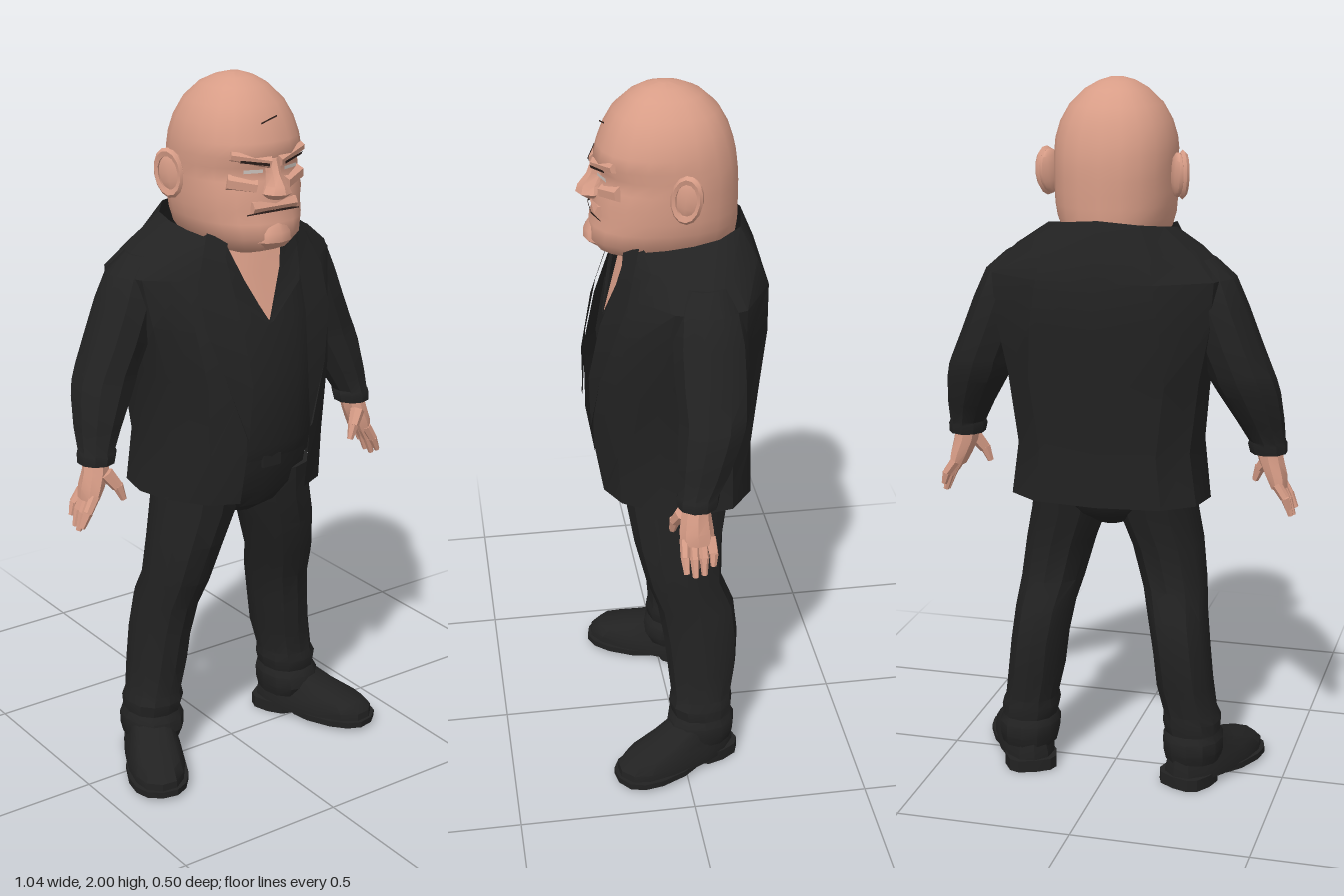
import * as THREE from 'three';
import { toCreasedNormals } from 'three/addons/utils/BufferGeometryUtils.js';

const mat = (name, color, side = THREE.FrontSide) => new THREE.MeshStandardMaterial({ name, color, side });
const V = (x, y, z) => new THREE.Vector3(x, y, z);

// Skin a stack of point rings, running upward
function loft(rings, closed = true) {
  const n = rings[0].length, pos = [], idx = [];
  rings.forEach(r => r.forEach(p => pos.push(p.x, p.y, p.z)));
  const spans = closed ? n : n - 1;
  for (let i = 0; i < rings.length - 1; i++)
    for (let j = 0; j < spans; j++) {
      const a = i * n + j, b = i * n + (j + 1) % n, c = b + n, d = a + n;
      idx.push(a, b, c, a, c, d);
    }
  if (closed) {
    const top = (rings.length - 1) * n;
    for (let j = 1; j < n - 1; j++) idx.push(0, j + 1, j, top, top + j, top + j + 1);
  }
  const g = new THREE.BufferGeometry();
  g.setAttribute('position', new THREE.Float32BufferAttribute(pos, 3));
  g.setIndex(idx);
  return g;
}

// Rounded horizontal section: height, half width, front z, back z, centre x
function section([y, w, zf, zb, cx = 0], n = 12, e = 2) {
  const zc = (zf + zb) / 2, d = (zf - zb) / 2;
  const pw = v => Math.sign(v) * Math.abs(v) ** (2 / e);
  return Array.from({ length: n }, (_, j) => {
    const t = j / n * Math.PI * 2;
    return V(cx + w * pw(Math.sin(t)), y, zc + d * pw(Math.cos(t)));
  });
}
const body = (rows, n, e) => loft(rows.map(r => section(r, n, e)));

// Ribbon from rows of points, each given as [x, y, z]
const ribbon = rows => loft(rows.map(r => r.map(p => V(...p))), false);

// Tapered rod between two points
function rod(a, b, ra, rb, n = 6) {
  const p = V(...a), q = V(...b), dir = q.clone().sub(p);
  const g = new THREE.CylinderGeometry(rb, ra, dir.length(), n);
  g.applyQuaternion(new THREE.Quaternion().setFromUnitVectors(V(0, 1, 0), dir.normalize()));
  return g.translate(...p.add(q).multiplyScalar(0.5).toArray());
}

function mirrored(g) {
  const m = g.clone().scale(-1, 1, 1), ix = m.index.array;
  for (let i = 0; i < ix.length; i += 3) [ix[i], ix[i + 1]] = [ix[i + 1], ix[i]];
  return m;
}

export function createModel() {
  const model = new THREE.Group();
  model.name = 'suitedMan';
  const suit = mat('black cloth', 0x222222, THREE.DoubleSide);
  const skin = mat('skin', 0xd89d87);
  const dark = mat('dark line', 0x30211d, THREE.DoubleSide);
  const white = mat('eye white', 0xd8cfc8, THREE.DoubleSide);

  const add = (name, g, m, crease = 0.55) => {
    g.deleteAttribute('normal');
    g.deleteAttribute('uv');
    const mesh = new THREE.Mesh(toCreasedNormals(g, crease), m);
    mesh.name = name;
    model.add(mesh);
  };
  const pair = (name, g, m, crease) => {
    add(name + 'Left', g, m, crease);
    add(name + 'Right', mirrored(g), m, crease);
  };

  // Head, broad jaw up to bald crown
  add('head', body([
    [1.535, 0.085, 0.135, -0.15], [1.555, 0.115, 0.195, -0.17], [1.59, 0.145, 0.22, -0.18],
    [1.63, 0.158, 0.215, -0.185], [1.665, 0.163, 0.202, -0.185], [1.7, 0.165, 0.205, -0.185],
    [1.74, 0.165, 0.188, -0.185], [1.775, 0.165, 0.18, -0.183], [1.805, 0.166, 0.2, -0.18],
    [1.84, 0.163, 0.19, -0.172], [1.885, 0.15, 0.173, -0.157], [1.93, 0.125, 0.148, -0.132],
    [1.97, 0.085, 0.105, -0.088], [1.99, 0.05, 0.07, -0.045], [2, 0.018, 0.03, -0.005],
  ], 20, 2.25), skin, 1);
  add('neck', body([[1.42, 0.13, 0.08, -0.13], [1.52, 0.12, 0.09, -0.15], [1.6, 0.125, 0.1, -0.17]]), skin);
  add('nose', body([
    [1.695, 0.026, 0.228, 0.16], [1.71, 0.042, 0.248, 0.16], [1.73, 0.03, 0.242, 0.16],
    [1.76, 0.018, 0.218, 0.15], [1.8, 0.022, 0.203, 0.15],
  ], 8), skin);
  add('chin', body([
    [1.558, 0.04, 0.2, 0.12], [1.58, 0.065, 0.23, 0.12], [1.605, 0.06, 0.23, 0.12], [1.635, 0.04, 0.212, 0.12],
  ], 10), skin, 0.9);
  add('upperLip', rod([-0.07, 1.674, 0.188], [0.07, 1.674, 0.188], 0.019, 0.019), skin);
  add('mouth', ribbon([
    [[-0.085, 1.655, 0.192], [-0.04, 1.661, 0.212], [0.04, 1.661, 0.212], [0.085, 1.655, 0.192]],
    [[-0.085, 1.658, 0.192], [-0.04, 1.667, 0.212], [0.04, 1.667, 0.212], [0.085, 1.658, 0.192]],
  ]), dark);
  add('foreheadScar', ribbon([
    [[-0.03, 1.888, 0.178], [0.025, 1.902, 0.172]], [[-0.03, 1.892, 0.177], [0.025, 1.906, 0.171]],
  ]), dark);
  pair('brow', rod([0.012, 1.79, 0.194], [0.115, 1.812, 0.158], 0.017, 0.013), skin);
  pair('browLine', ribbon([
    [[0.025, 1.783, 0.209], [0.1, 1.796, 0.182]], [[0.025, 1.791, 0.211], [0.1, 1.803, 0.184]],
  ]), dark);
  pair('eye', ribbon([
    [[0.035, 1.764, 0.192], [0.085, 1.764, 0.176]], [[0.035, 1.773, 0.193], [0.085, 1.774, 0.177]],
  ]), white);
  pair('cheek', rod([0.045, 1.725, 0.178], [0.115, 1.74, 0.142], 0.02, 0.022), skin);

  // Ears, flaring out toward the back
  const place = g => g.rotateX(-0.15).rotateY(-0.5).translate(0.178, 1.745, -0.025);
  pair('ear', place(new THREE.SphereGeometry(1, 10, 8).scale(0.018, 0.062, 0.042)), skin, 0.9);
  pair('earRim', place(new THREE.TorusGeometry(0.04, 0.009, 5, 14).rotateY(Math.PI / 2)
    .scale(1, 1.4, 0.9).translate(0.014, 0, 0)), skin, 0.9);

  // Shirt with an open neck
  add('shirt', body([
    [0.96, 0.215, 0.195, -0.19], [1, 0.22, 0.205, -0.2], [1.2, 0.235, 0.203, -0.21],
    [1.35, 0.24, 0.172, -0.22], [1.48, 0.2, 0.128, -0.21], [1.57, 0.12, 0.1, -0.17],
  ], 20, 2.4), suit);
  add('chest', ribbon([
    [[-0.002, 1.355, 0.178], [0, 1.355, 0.178], [0.002, 1.355, 0.178]],
    [[-0.066, 1.48, 0.132], [0, 1.48, 0.139], [0.066, 1.48, 0.132]],
    [[-0.1, 1.575, 0.092], [0, 1.575, 0.108], [0.1, 1.575, 0.092]],
  ]), skin);
  pair('shirtCollar', ribbon([
    [[0, 1.345, 0.182], [0.012, 1.35, 0.182]],
    [[0.062, 1.47, 0.147], [0.12, 1.44, 0.152]],
    [[0.1, 1.56, 0.125], [0.15, 1.545, 0.12]],
    [[0.12, 1.6, 0.095], [0.155, 1.585, 0.08]],
  ]), suit);

  // Jacket shell; each row runs from the front edge round to the back
  const jacketRows = [
    [0.85, [0.11, 0.2], [0.19, 0.16], [0.26, 0.06], [0.285, -0.04], [0.265, -0.14], [0.18, -0.205], [0, -0.225]],
    [1.0, [0.105, 0.225], [0.19, 0.17], [0.245, 0.06], [0.265, -0.04], [0.245, -0.14], [0.165, -0.205], [0, -0.225]],
    [1.2, [0.11, 0.225], [0.2, 0.18], [0.26, 0.07], [0.28, -0.05], [0.27, -0.15], [0.19, -0.22], [0, -0.24]],
    [1.35, [0.13, 0.19], [0.22, 0.15], [0.29, 0.05], [0.315, -0.05], [0.3, -0.16], [0.18, -0.24], [0, -0.255]],
    [1.48, [0.145, 0.14], [0.22, 0.11], [0.31, 0.03], [0.345, -0.06], [0.31, -0.16], [0.16, -0.245], [0, -0.25]],
    [1.55, [0.14, 0.12], [0.2, 0.075], [0.245, 0.01], [0.265, -0.06], [0.245, -0.13], [0.15, -0.215], [0, -0.232]],
    [1.61, [0.11, 0.125], [0.145, 0.09], [0.165, 0.03], [0.172, -0.04], [0.162, -0.11], [0.11, -0.175], [0, -0.195]],
  ];
  add('jacket', loft(jacketRows.map(([y, ...pts], i) => {
    const half = pts.map(([x, z], j) => V(x, i === 6 ? y - 0.035 + j * 0.0105 : y, z));
    return [...half, ...half.slice(0, -1).reverse().map(p => V(-p.x, p.y, p.z))];
  }), false), suit);
  pair('lapel', ribbon([
    [[0.103, 1.04, 0.232], [0.11, 1.05, 0.234]],
    [[0.092, 1.2, 0.234], [0.165, 1.22, 0.213]],
    [[0.105, 1.36, 0.203], [0.205, 1.36, 0.176]],
    [[0.112, 1.47, 0.162], [0.205, 1.47, 0.138]],
    [[0.118, 1.54, 0.142], [0.175, 1.54, 0.118]],
    [[0.105, 1.58, 0.136], [0.15, 1.6, 0.1]],
  ]), suit);

  // Sleeves, with a small step at the cuff and elbow folds
  pair('sleeve', body([
    [0.985, 0.052, 0.045, -0.065, 0.441], [1.01, 0.055, 0.047, -0.07, 0.438], [1.02, 0.051, 0.042, -0.07, 0.437],
    [1.08, 0.066, 0.04, -0.105, 0.42], [1.16, 0.086, 0.035, -0.14, 0.392], [1.2, 0.092, 0.03, -0.155, 0.376],
    [1.225, 0.09, 0.03, -0.16, 0.368], [1.3, 0.09, 0.035, -0.165, 0.337], [1.4, 0.088, 0.035, -0.165, 0.3],
    [1.48, 0.075, 0.025, -0.15, 0.277], [1.53, 0.05, 0, -0.12, 0.245],
  ], 10), suit);

  // Hands: palm, thumb and four spread fingers
  pair('palm', body([
    [0.885, 0.023, 0.04, -0.052, 0.472], [0.92, 0.032, 0.042, -0.05, 0.462],
    [0.96, 0.036, 0.035, -0.045, 0.448], [1.0, 0.037, 0.026, -0.045, 0.44],
  ], 8), skin);
  pair('thumb', rod([0.435, 0.96, 0.03], [0.408, 0.92, 0.045], 0.021, 0.016), skin);
  pair('thumbTip', rod([0.408, 0.924, 0.045], [0.393, 0.882, 0.05], 0.016, 0.009), skin);
  [0.028, 0.005, -0.018, -0.041].forEach((z, i) => {
    const drop = [0.015, 0, 0.004, 0.028][i];
    const mid = [0.495, 0.85 + drop * 0.5, z * 1.1];
    pair('finger' + (i + 1), rod([0.47, 0.9, z], mid, 0.015, 0.013), skin);
    pair('fingerTip' + (i + 1), rod(mid, [0.514 - i * 0.003, 0.802 + drop, z * 1.05], 0.013, 0.008), skin);
  });

  // Trousers: hips, belt and flared legs with folds at the ankle
  add('hips', body([
    [0.765, 0.05, 0.08, -0.09], [0.8, 0.13, 0.13, -0.14], [0.85, 0.225, 0.15, -0.17],
    [0.92, 0.225, 0.17, -0.18], [0.99, 0.215, 0.18, -0.18],
  ], 16, 2.3), suit);
  add('belt', body([[0.935, 0.226, 0.185, -0.185], [0.972, 0.225, 0.192, -0.185]], 16, 2.3), suit);
  add('buckle', new THREE.BoxGeometry(0.06, 0.034, 0.008).translate(0, 0.953, 0.192), suit);
  pair('leg', body([
    [0.07, 0.08, 0.03, -0.145, 0.247], [0.1, 0.087, 0.045, -0.155, 0.247], [0.135, 0.088, 0.04, -0.155, 0.246],
    [0.155, 0.079, 0.028, -0.145, 0.245], [0.19, 0.085, 0.036, -0.15, 0.242], [0.215, 0.077, 0.028, -0.147, 0.238],
    [0.3, 0.081, 0.036, -0.163, 0.222], [0.4, 0.081, 0.046, -0.168, 0.211], [0.5, 0.085, 0.062, -0.158, 0.196],
    [0.58, 0.092, 0.092, -0.125, 0.181], [0.7, 0.101, 0.122, -0.13, 0.157], [0.8, 0.11, 0.138, -0.15, 0.128],
    [0.89, 0.11, 0.15, -0.17, 0.118],
  ], 12, 2.2), suit);

  // Shoes turned outward, with separate sole and heel
  const foot = g => g.rotateY(0.45).translate(0.25, 0, -0.06);
  pair('shoe', foot(body([
    [0.022, 0.083, 0.285, -0.095], [0.05, 0.083, 0.282, -0.095], [0.075, 0.074, 0.255, -0.09],
    [0.1, 0.066, 0.17, -0.085], [0.13, 0.06, 0.095, -0.08], [0.16, 0.055, 0.06, -0.07],
  ], 14, 2.5)), suit);
  pair('sole', foot(body([[0.012, 0.088, 0.292, 0.02], [0.03, 0.088, 0.292, 0.02]], 14, 2.4)), suit);
  pair('heel', foot(body([[0, 0.076, 0.05, -0.1], [0.035, 0.076, 0.05, -0.1]], 12, 3)), suit);

  return model;
}
